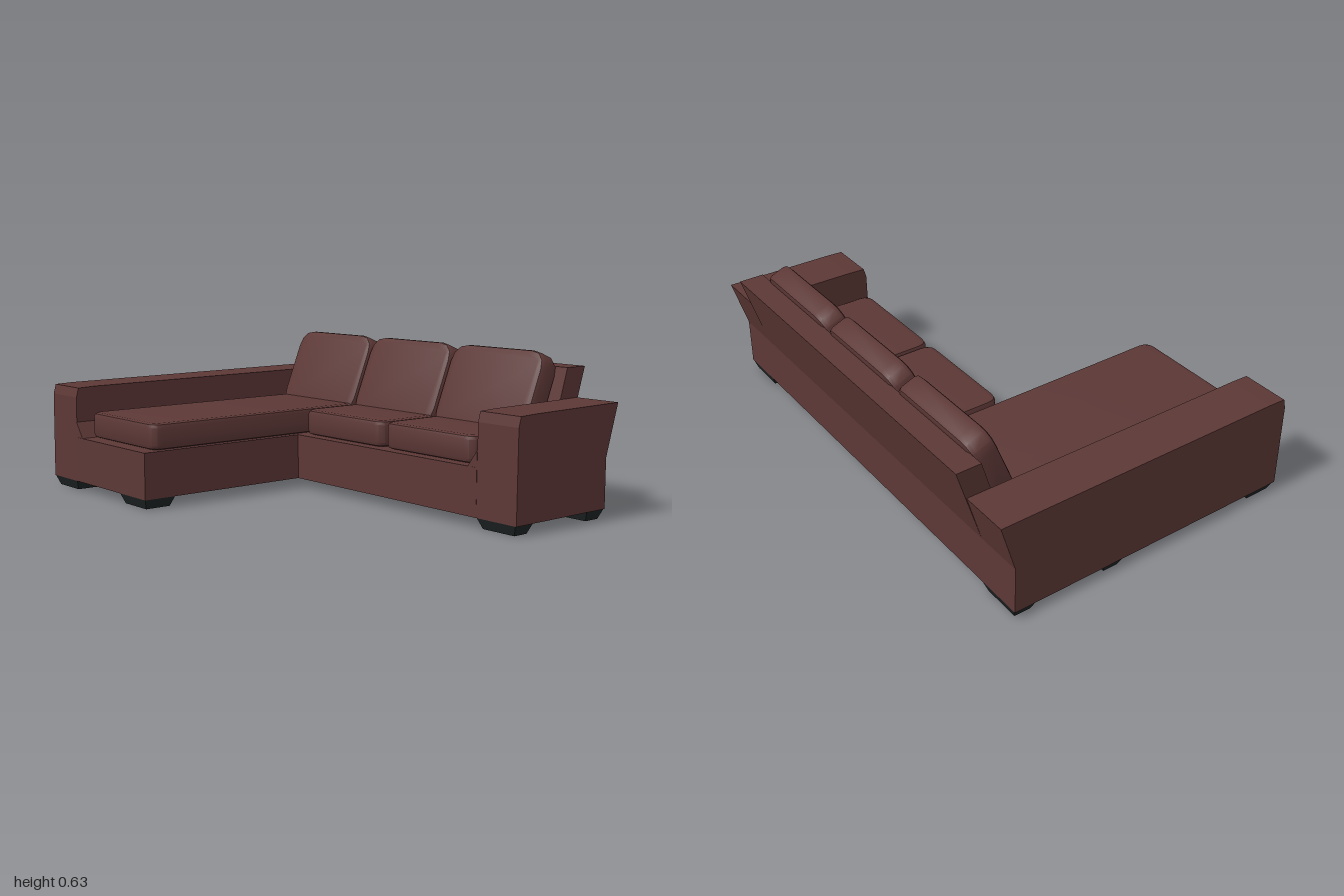
import * as THREE from 'three';
import { toCreasedNormals } from 'three/addons/utils/BufferGeometryUtils.js';

const fabric = new THREE.MeshStandardMaterial({ color: 0x5c3836 });
const dark = new THREE.MeshStandardMaterial({ color: 0x1e2323 });

function polygon(points) {
  return new THREE.Shape(points.map(([x, y]) => new THREE.Vector2(x, y)));
}

// Side profile in x/y, swept along z from z0 to z1
function sweep(name, points, z0, z1) {
  const g = new THREE.ExtrudeGeometry(polygon(points), { depth: z1 - z0, bevelEnabled: false });
  g.translate(0, 0, z0);
  const mesh = new THREE.Mesh(g, fabric);
  mesh.name = name;
  return mesh;
}

// Padded slab lying in x/y, thickness t along z, rounded corners of radius r, centred on the origin
function cushionGeometry(w, h, t, r, bevel) {
  const a = w / 2 - bevel, b = h / 2 - bevel;
  const s = new THREE.Shape();
  s.moveTo(-a + r, -b);
  s.lineTo(a - r, -b);
  s.quadraticCurveTo(a, -b, a, -b + r);
  s.lineTo(a, b - r);
  s.quadraticCurveTo(a, b, a - r, b);
  s.lineTo(-a + r, b);
  s.quadraticCurveTo(-a, b, -a, b - r);
  s.lineTo(-a, -b + r);
  s.quadraticCurveTo(-a, -b, -a + r, -b);
  const g = new THREE.ExtrudeGeometry(s, {
    depth: t - 2 * bevel, bevelThickness: bevel, bevelSize: bevel, bevelSegments: 2, curveSegments: 3,
  });
  g.translate(0, 0, -t / 2 + bevel);
  return toCreasedNormals(g, 0.6);
}

export function createModel() {
  const sofa = new THREE.Group();
  sofa.name = 'cornerSofa';

  // L-shaped seat base
  const L = [[-0.69, 0.26], [0.085, 0.26], [0.085, -0.8], [0.48, -0.8], [0.48, 0.8], [-0.69, 0.8]];
  const baseGeo = new THREE.ExtrudeGeometry(polygon(L), { depth: 0.19, bevelEnabled: false });
  baseGeo.rotateX(-Math.PI / 2).translate(0, 0.04, 0);
  const base = new THREE.Mesh(baseGeo, fabric);
  base.name = 'seatBase';
  sofa.add(base);

  // Leaning backrest frame
  sofa.add(sweep('backrest',
    [[0.48, 0.04], [0.585, 0.04], [0.585, 0.24], [0.69, 0.57], [0.585, 0.57], [0.48, 0.23]], -0.8, 0.8));

  // Arms, each with a sloped fillet down to the seat base
  for (const [name, x, side] of [['shortArm', 0.085, 1], ['chaiseArm', -0.69, -1]]) {
    const profile = [[x, 0.04], [0.585, 0.04], [0.585, 0.24], [0.648, 0.448], [x + 0.09, 0.443], [x + 0.014, 0.44], [x + 0.003, 0.4]];
    sofa.add(sweep(name, profile, side > 0 ? 0.8 : -1, side > 0 ? 1 : -0.8));
    const tri = side > 0 ? [[-0.8, 0.22], [-0.8, 0.295], [-0.745, 0.22]] : [[0.8, 0.22], [0.745, 0.22], [0.8, 0.295]];
    const g = new THREE.ExtrudeGeometry(polygon(tri), { depth: 0.5 - x, bevelEnabled: false });
    g.rotateY(Math.PI / 2).translate(x + 0.001, 0, 0);
    const fillet = new THREE.Mesh(g, fabric);
    fillet.name = name + 'Fillet';
    sofa.add(fillet);
  }

  // Seat cushions: one long chaise cushion and two regular ones
  for (const [name, x0, z] of [['chaiseCushion', -0.645, -0.51], ['middleSeatCushion', 0.11, 0], ['endSeatCushion', 0.11, 0.505]]) {
    const x1 = 0.5;
    const g = cushionGeometry(x1 - x0, 0.495, 0.108, 0.03, 0.018);
    g.rotateX(-Math.PI / 2);
    const cushion = new THREE.Mesh(g, fabric);
    cushion.name = name;
    cushion.position.set((x0 + x1) / 2, 0.286, z);
    sofa.add(cushion);
  }

  // Leaning back cushions
  const backGeo = cushionGeometry(0.5, 0.37, 0.1, 0.06, 0.02);
  backGeo.rotateY(-Math.PI / 2).rotateZ(-0.385);
  for (const z of [-0.505, 0, 0.505]) {
    const cushion = new THREE.Mesh(backGeo, fabric);
    cushion.name = 'backCushion';
    cushion.position.set(0.487, 0.449, z);
    sofa.add(cushion);
  }

  // Tapered block feet
  for (const [x0, x1, z] of [
    [-0.69, -0.55, -0.9], [-0.69, -0.55, -0.355], [0.085, 0.18, -0.9],
    [0.085, 0.18, 0.9], [0.485, 0.585, -0.9], [0.485, 0.585, 0.9],
  ]) {
    const w = x1 - x0;
    const g = new THREE.BoxGeometry(w, 0.04, 0.19);
    const p = g.attributes.position;
    for (let i = 0; i < p.count; i++) {
      if (p.getY(i) < 0) {
        p.setX(i, p.getX(i) * (1 - 0.03 / w));
        p.setZ(i, p.getZ(i) * 0.82);
      }
    }
    g.computeVertexNormals();
    const foot = new THREE.Mesh(g, dark);
    foot.name = 'foot';
    foot.position.set((x0 + x1) / 2, 0.02, z);
    sofa.add(foot);
  }
  return sofa;
}
